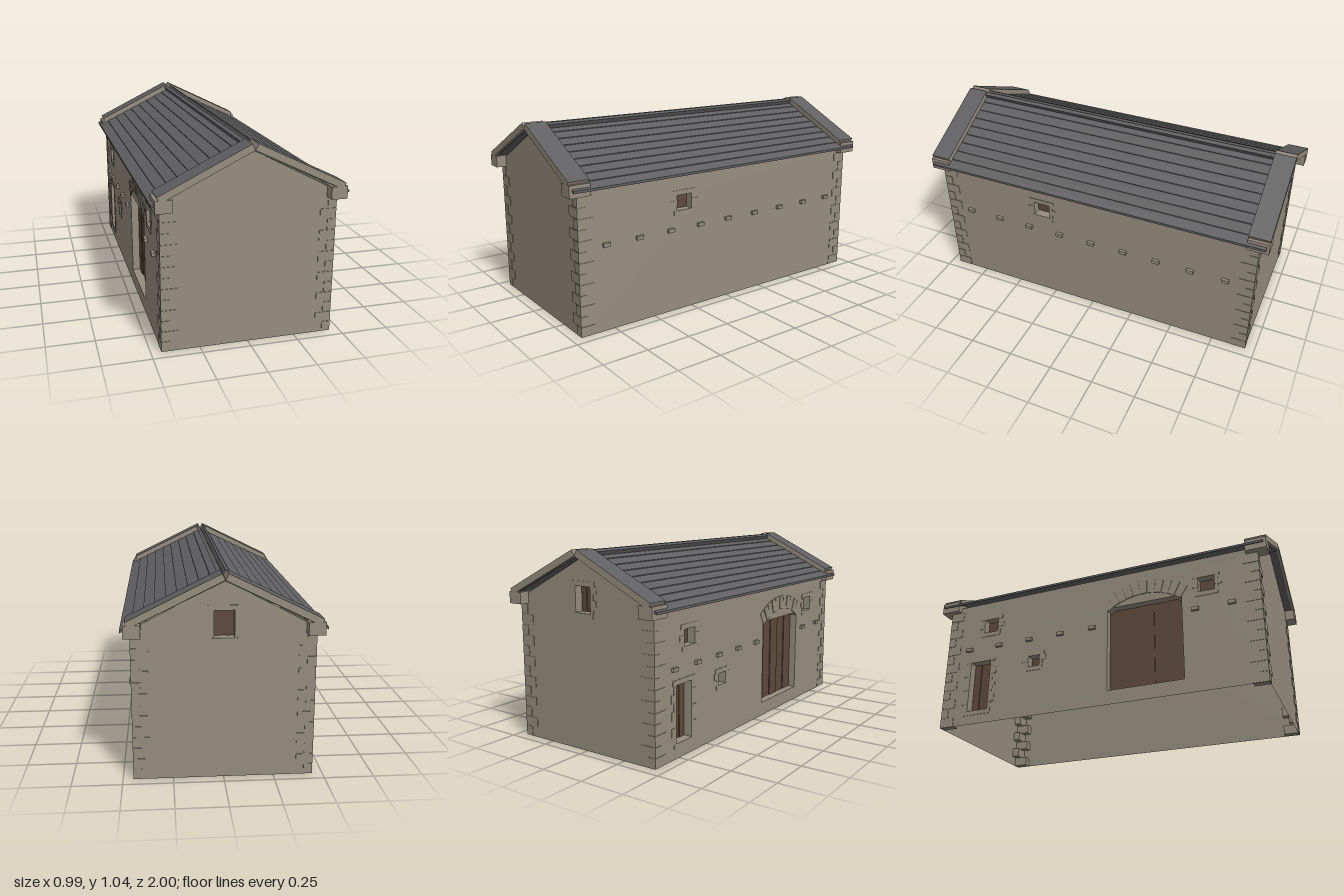
import * as THREE from 'three';

const stone = new THREE.MeshStandardMaterial({ color: 0x978d7e, side: THREE.DoubleSide });
stone.name = 'stone';
const slate = new THREE.MeshStandardMaterial({ color: 0x605f61 });
slate.name = 'slate';
const wood = new THREE.MeshStandardMaterial({ color: 0x5e493c });
wood.name = 'wood';

const HX = 0.445, HZ = 0.945, EAVE = 0.767, PEAK = 1.0;

function box(parent, name, mat, w, h, d, x, y, z) {
  const m = new THREE.Mesh(new THREE.BoxGeometry(w, h, d), mat);
  m.name = name;
  m.position.set(x, y, z);
  parent.add(m);
  return m;
}

// Thin wall in its own frame: u to the right, y up, outside towards +z
function wall(name, half, gable, openings) {
  const g = new THREE.Group();
  g.name = name;
  const s = new THREE.Shape();
  s.moveTo(-half, 0);
  s.lineTo(half, 0);
  s.lineTo(half, EAVE);
  if (gable) s.lineTo(0, PEAK);
  s.lineTo(-half, EAVE);
  s.closePath();
  for (const o of openings) {
    const a = o.u - o.w / 2, b = o.u + o.w / 2, p = new THREE.Path();
    p.moveTo(a, o.y);
    p.lineTo(a, o.y + o.h);
    p.lineTo(b, o.y + o.h);
    p.lineTo(b, o.y);
    p.closePath();
    s.holes.push(p);
    addOpening(g, o);
  }
  const m = new THREE.Mesh(new THREE.ShapeGeometry(s), stone);
  m.name = name + 'Surface';
  g.add(m);
  return g;
}

// Boarded opening with a stone reveal and, unless plain, dressed stones around it
function addOpening(g, { name, u, y, w, h, planks, courses }) {
  const plankW = w / planks;
  for (let i = 0; i < planks; i++) {
    box(g, name + 'Plank', wood, plankW, h, 0.012, u - w / 2 + (i + 0.5) * plankW, y + h / 2, -0.05 - (i % 2) * 0.005);
  }
  const front = courses ? 0.003 : -0.001, depth = 0.06 + front, z = front - depth / 2;
  const over = courses ? 0.06 : 0.04, t = courses ? 0.026 : 0.02;
  box(g, name + 'Lintel', stone, w + over, t, depth, u, y + h + t / 2, z);
  box(g, name + 'Sill', stone, w + over * 0.6, t, depth, u, y - t / 2, z);
  const n = courses || 1;
  for (const s of [-1, 1]) {
    for (let i = 0; i < n; i++) {
      const jw = i % 2 ? 0.04 : 0.02;
      const f = i % 2 ? 0 : 0.001;
      box(g, name + 'Jamb', stone, jw, h / n, depth - f, u + s * (w + jw) / 2, y + (i + 0.5) * h / n, z - f / 2);
    }
  }
}

// Row of small stone corbels at the given positions along a long wall
function addCorbels(g, list) {
  for (const u of list) box(g, 'corbel', stone, 0.04, 0.02, 0.036, u, 0.465, -0.001);
}

// Fan of wedge stones over the large door
function addArch(g, u) {
  const n = 11, r = 0.39, cy = 0.27;
  for (let i = 0; i < n; i++) {
    const a = (i / (n - 1) - 0.5) * 1.16;
    const d = 0.063 + (i % 2) * 0.002;
    const m = box(g, 'archStone', stone, 0.041, 0.08, d, u + r * Math.sin(a), cy + r * Math.cos(a), -0.06 + d / 2);
    m.rotation.z = -a;
  }
}

// One roof slope with gently stepped slate courses
function roofSlope(s) {
  const w = 0.493, n = 9, base = x => PEAK + 0.001 - 0.483 * x;
  const shape = new THREE.Shape();
  shape.moveTo(0, base(0));
  shape.lineTo(s * w, base(w));
  for (let i = n; i > 0; i--) {
    const lo = w * i / n, hi = w * (i - 1) / n;
    shape.lineTo(s * lo, base(lo) + 0.013);
    shape.lineTo(s * hi, base(hi) + 0.009);
  }
  shape.closePath();
  const geo = new THREE.ExtrudeGeometry(shape, { depth: 1.97, bevelEnabled: false });
  geo.translate(0, 0, -0.985);
  const m = new THREE.Mesh(geo, slate);
  m.name = s > 0 ? 'leftRoofSlope' : 'rightRoofSlope';
  return m;
}

// Slab laid on a slope, starting at the ridge
function slopeSlab(parent, name, mat, s, y0, len, t, depth, z) {
  const a = 0.456;
  const x = Math.cos(a) * len / 2 + Math.sin(a) * t / 2;
  const y = y0 - Math.sin(a) * len / 2 + Math.cos(a) * t / 2;
  const m = box(parent, name, mat, len, t, depth, s * x, y, z);
  m.rotation.z = -s * a;
}

export function createModel() {
  const model = new THREE.Group();
  model.name = 'stoneBarn';

  // Walls
  const front = wall('frontWall', HX, true, []);
  front.position.z = HZ;

  const back = wall('backWall', HX, true, [
    { name: 'gableWindow', u: 0, y: 0.72, w: 0.1, h: 0.135, planks: 3, courses: 4 },
  ]);
  back.position.z = -HZ;
  back.rotation.y = Math.PI;

  const left = wall('leftWall', HZ, false, [
    { name: 'leftWindow', u: -0.305, y: 0.565, w: 0.095, h: 0.085, planks: 1, courses: 3 },
  ]);
  left.position.x = HX;
  left.rotation.y = Math.PI / 2;
  addCorbels(left, [-4, -3, -2, -1, 0, 1, 2, 3, 4].map(i => i * 0.198));

  const right = wall('rightWall', HZ, false, [
    { name: 'largeDoor', u: 0.305, y: 0.08, w: 0.43, h: 0.49, planks: 5, courses: 0 },
    { name: 'smallDoor', u: -0.71, y: 0.08, w: 0.13, h: 0.3, planks: 3, courses: 7 },
    { name: 'backUpperWindow', u: -0.66, y: 0.565, w: 0.09, h: 0.085, planks: 1, courses: 3 },
    { name: 'frontUpperWindow', u: 0.66, y: 0.565, w: 0.09, h: 0.085, planks: 1, courses: 3 },
    { name: 'lowerWindow', u: -0.36, y: 0.295, w: 0.07, h: 0.065, planks: 1, courses: 2 },
  ]);
  right.position.x = -HX;
  right.rotation.y = -Math.PI / 2;
  addCorbels(right, [-4, -3, -2, -1, 0, 3, 4].map(i => i * 0.198));
  addArch(right, 0.305);
  model.add(front, back, left, right);

  // Corner stones, alternating long and short, with a kneeler block on top
  const courses = 13, ch = 0.737 / courses;
  for (const sx of [-1, 1]) {
    for (const sz of [-1, 1]) {
      const corner = new THREE.Group();
      corner.name = 'cornerStones';
      for (let i = 0; i < courses; i++) {
        const lx = i % 2 ? 0.085 : 0.045, lz = i % 2 ? 0.045 : 0.085;
        box(corner, 'cornerStone', stone, lx, ch - 0.004, lz,
          sx * (HX + 0.003 - lx / 2), (i + 0.5) * ch - 0.002 + (i === 0 ? 0.002 : 0), sz * (HZ + 0.003 - lz / 2));
      }
      box(corner, 'kneelerBlock', stone, 0.083, 0.064, 0.115, sx * 0.4365, 0.769, sz * 0.9425);
      model.add(corner);
    }
  }

  // Roof slopes, ridge cap and gable copings (slate on top, stone elsewhere)
  const copingMats = [stone, stone, slate, stone, stone, stone];
  for (const s of [-1, 1]) {
    model.add(roofSlope(s));
    slopeSlab(model, 'ridgeCap', slate, s, 1.009, 0.022, 0.026, 1.77, 0);
    for (const sz of [-1, 1]) {
      slopeSlab(model, 'gableCoping', copingMats, s, 1.008, 0.505, 0.035, 0.115, sz * 0.9425);
    }
  }
  return model;
}
